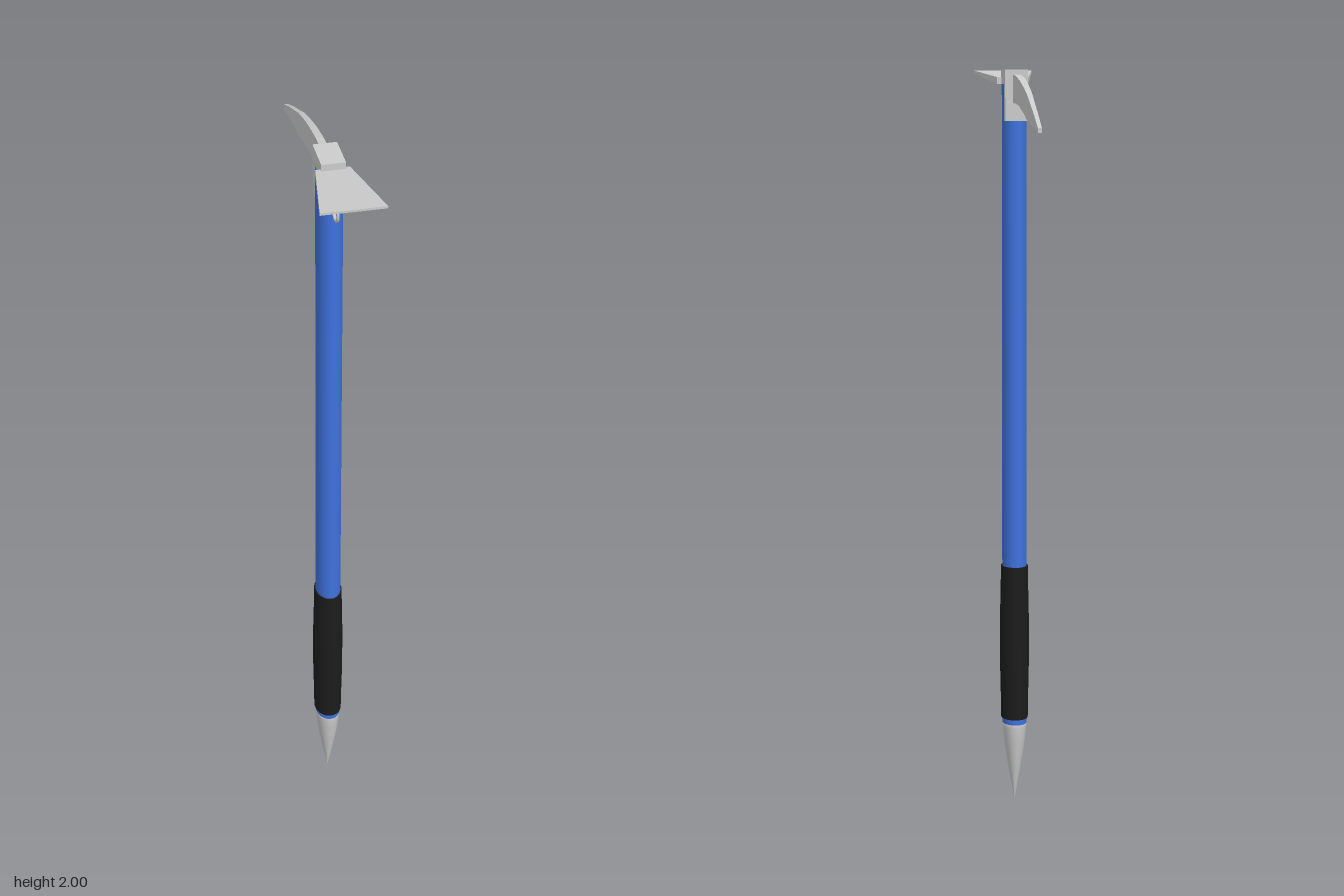
import * as THREE from 'three';

const SHAFT_Z = 0.133;

function material(color, extra = {}) {
  return new THREE.MeshStandardMaterial({ color, ...extra });
}

// Oval lathe: profile holds [x radius, y]; z is stretched to make the section elliptical
function ovalLathe(name, profile, mat, stretch) {
  const points = profile.map(([r, y]) => new THREE.Vector2(r, y));
  const mesh = new THREE.Mesh(new THREE.LatheGeometry(points, 32), mat);
  mesh.scale.z = stretch;
  mesh.position.z = SHAFT_Z;
  mesh.name = name;
  return mesh;
}

// Blade from rectangular sections [z, bottom y, top y, half width], ordered by falling z
function blade(name, sections, mat) {
  const positions = [];
  const index = [];
  for (const [z, y0, y1, w] of sections) {
    positions.push(-w, y0, z, w, y0, z, w, y1, z, -w, y1, z);
  }
  const last = (sections.length - 1) * 4;
  for (let a = 0; a < last; a += 4) {
    for (let i = 0; i < 4; i++) {
      const j = (i + 1) % 4;
      index.push(a + i, a + 4 + i, a + j, a + j, a + 4 + i, a + 4 + j);
    }
  }
  index.push(0, 1, 2, 0, 2, 3);
  index.push(last, last + 2, last + 1, last, last + 3, last + 2);
  const indexed = new THREE.BufferGeometry();
  indexed.setAttribute('position', new THREE.Float32BufferAttribute(positions, 3));
  indexed.setIndex(index);
  const geometry = indexed.toNonIndexed();
  geometry.computeVertexNormals();
  const mesh = new THREE.Mesh(geometry, mat);
  mesh.name = name;
  return mesh;
}

export function createModel() {
  const group = new THREE.Group();
  group.name = 'iceAxe';
  const steel = material(0xcccccc);
  const steelFlat = material(0xcccccc, { flatShading: true });
  const blue = material(0x3f72dc);
  const rubber = material(0x1c1c1c);

  // Oval shaft, closed at both ends
  const shaft = new THREE.Mesh(new THREE.CylinderGeometry(0.033, 0.033, 1.74, 32), blue);
  shaft.scale.z = 1.42;
  shaft.position.set(0, 1.09, SHAFT_Z);
  shaft.name = 'shaft';
  group.add(shaft);

  // Rubber grip with a slight swell; doubled rim points keep the ends crisp
  group.add(ovalLathe('grip', [
    [0, 0.235], [0.0365, 0.235], [0.0365, 0.2355], [0.0375, 0.3], [0.0395, 0.39],
    [0.0395, 0.51], [0.0375, 0.6], [0.0365, 0.6595], [0.0365, 0.66], [0, 0.66],
  ], rubber, 1.36));

  // Ground spike
  group.add(ovalLathe('spike', [
    [0, 0], [0.008, 0.045], [0.0165, 0.09], [0.0235, 0.135],
    [0.029, 0.175], [0.0325, 0.21], [0.033, 0.236], [0, 0.236],
  ], steel, 1.4));

  // Head block clamped around the shaft top
  const head = new THREE.Mesh(new THREE.BoxGeometry(0.06, 0.135, 0.1), steelFlat);
  head.position.set(0, 1.93, 0.131);
  head.name = 'headBlock';
  group.add(head);

  // Curved, drooping pick
  group.add(blade('pick', [
    [0.09, 1.91, 1.985, 0.01],
    [0.02, 1.908, 1.98, 0.0095],
    [-0.05, 1.902, 1.969, 0.009],
    [-0.1, 1.89, 1.958, 0.0083],
    [-0.15, 1.88, 1.945, 0.0077],
    [-0.2, 1.865, 1.93, 0.007],
    [-0.25, 1.86, 1.91, 0.0063],
    [-0.32, 1.85, 1.883, 0.0055],
    [-0.4, 1.835, 1.848, 0.005],
  ], steelFlat));

  // Flared adze
  group.add(blade('adze', [
    [0.4, 1.994, 2.0, 0.08],
    [0.17, 1.96, 1.979, 0.042],
  ], steelFlat));

  // Leash ring
  const ring = new THREE.Mesh(new THREE.TorusGeometry(0.027, 0.004, 10, 32), steel);
  ring.rotation.y = Math.PI / 2;
  ring.position.set(0, 1.885, 0.205);
  ring.name = 'leashRing';
  group.add(ring);

  return group;
}
